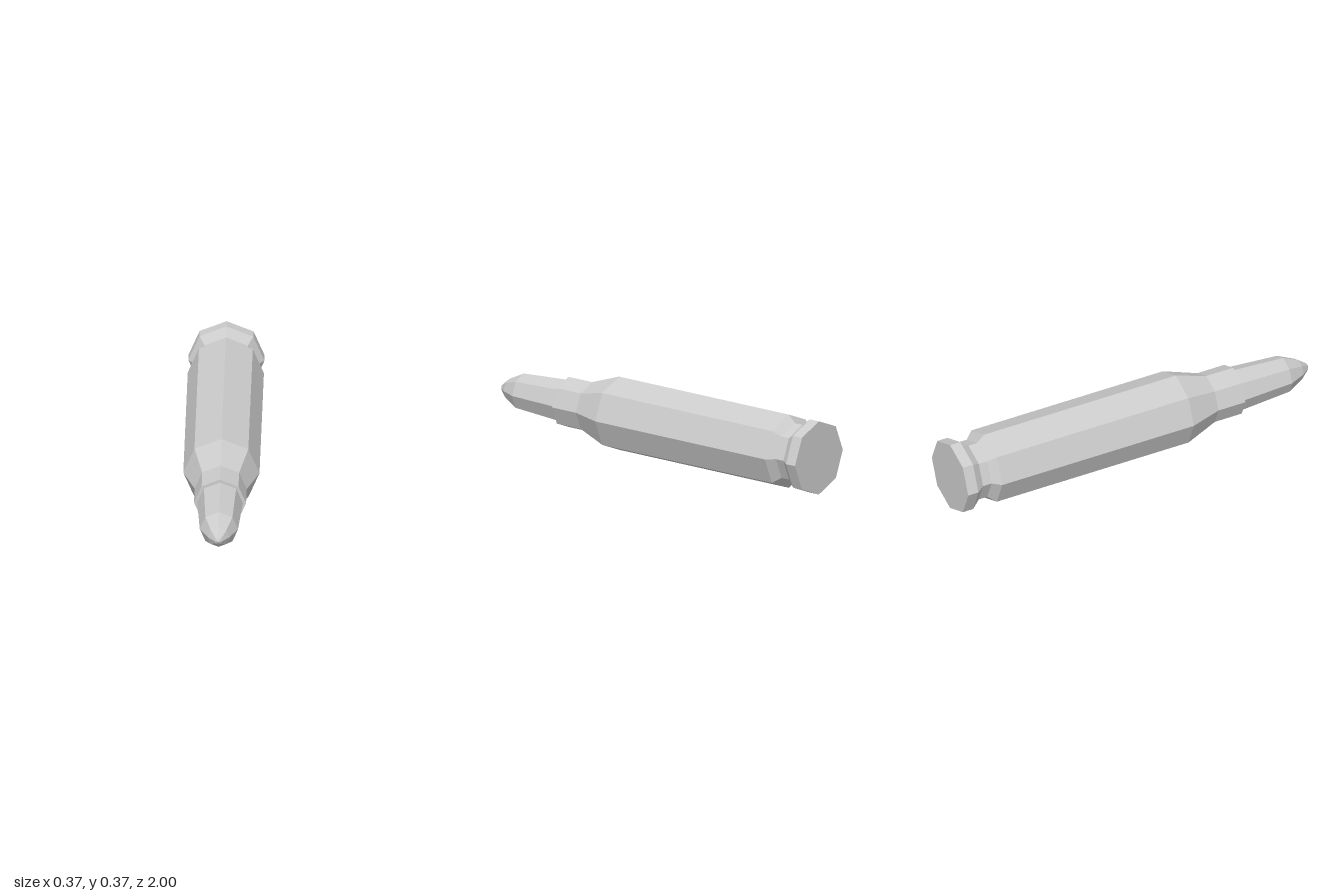
import * as THREE from 'three';

const SIDES = 8;
const RADIUS = 0.187;

export function createModel() {
  const model = new THREE.Group();
  model.name = 'cartridge';
  const material = new THREE.MeshStandardMaterial({ color: 0xcccccc, flatShading: true });

  // Turns a [radius, z] profile, listed back to front, around the long axis
  function turned(name, profile) {
    const points = profile.map(([r, z]) => new THREE.Vector2(r, z));
    const geometry = new THREE.LatheGeometry(points, SIDES).rotateX(Math.PI / 2);
    const mesh = new THREE.Mesh(geometry, material);
    mesh.name = name;
    mesh.position.y = RADIUS;
    model.add(mesh);
  }

  // Base disc, rim and the extractor groove in front of it
  turned('rim', [
    [0, -1], [RADIUS, -1], [RADIUS, -0.943], [0.15, -0.897], [0.15, -0.85],
  ]);

  // Body, tapered shoulder, neck and mouth lip
  turned('case', [
    [0.15, -0.85], [RADIUS, -0.81], [RADIUS, 0.26], [0.128, 0.43], [0.128, 0.58], [0.112, 0.58],
  ]);

  // Projectile with a rounded nose
  turned('bullet', [
    [0.112, 0.58], [0.094, 0.86], [0.054, 0.945], [0.02, 0.988], [0, 1],
  ]);

  return model;
}
